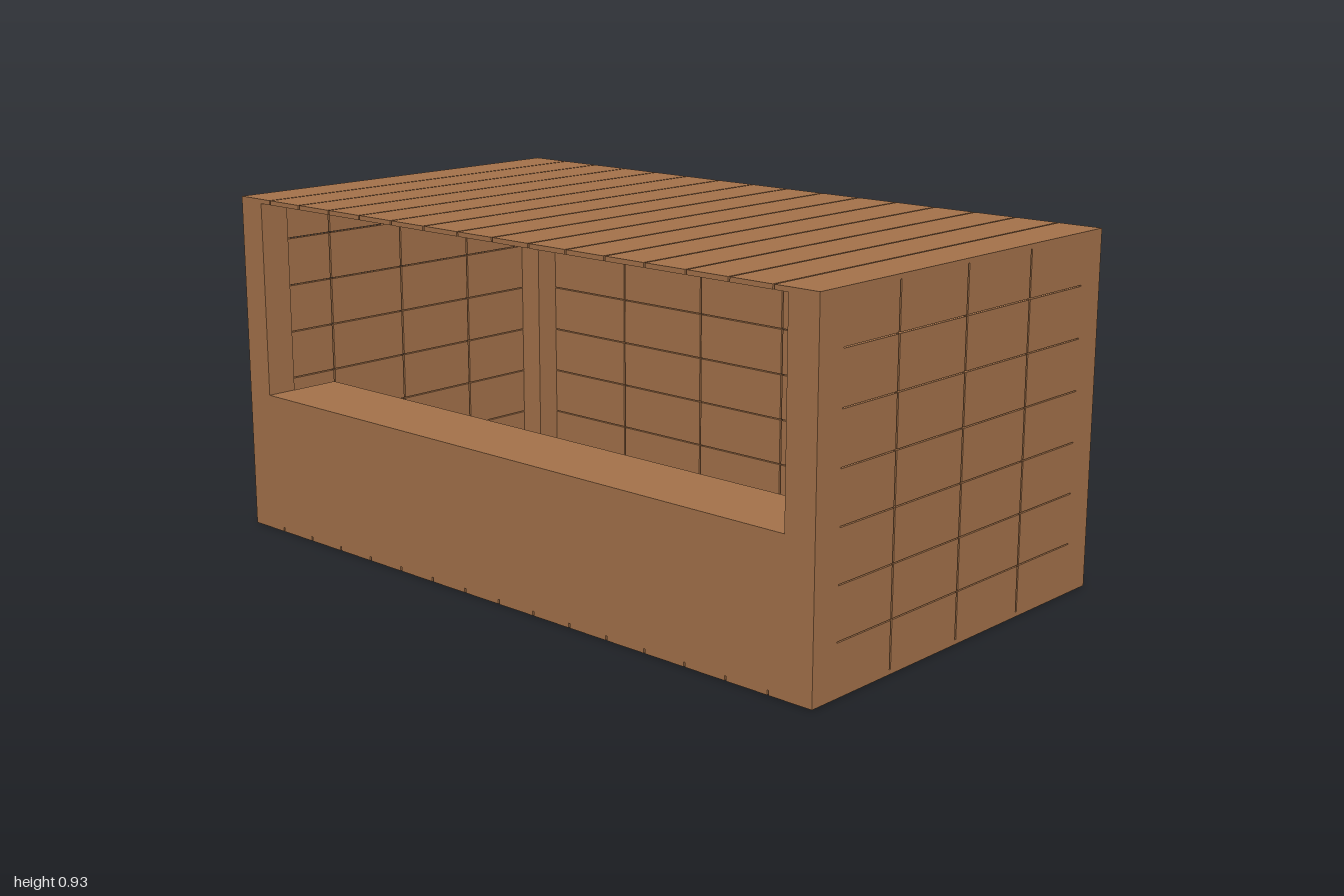
import * as THREE from 'three';

const HX = 1, HZ = 0.56, H = 0.93;   // half width, half depth, height
const T = 0.012;                     // board thickness
const POST = 0.085;                  // corner post side

export function createModel() {
  const model = new THREE.Group();
  const wood = new THREE.MeshStandardMaterial({ color: 0xa4724a, flatShading: true });

  // Box given by its min and max corners
  function box(parent, name, x0, x1, y0, y1, z0, z1) {
    const mesh = new THREE.Mesh(new THREE.BoxGeometry(x1 - x0, y1 - y0, z1 - z0), wood);
    mesh.position.set((x0 + x1) / 2, (y0 + y1) / 2, (z0 + z1) / 2);
    mesh.name = name;
    parent.add(mesh);
  }

  function group(name) {
    const g = new THREE.Group();
    g.name = name;
    model.add(g);
    return g;
  }

  // Floor and roof: sixteen planks running front to back
  const floor = group('floor'), roof = group('roof');
  const planks = 16, step = 2 * HX / planks, gap = 0.0025;
  for (let i = 0; i < planks; i++) {
    const x0 = -HX + i * step + (i > 0 ? gap : 0);
    const x1 = -HX + (i + 1) * step - (i < planks - 1 ? gap : 0);
    box(floor, 'floorPlank', x0, x1, 0, T, -HZ, HZ);
    box(roof, 'roofPlank', x0, x1, H - T, H, -HZ, HZ);
  }

  // Corner posts
  const posts = group('cornerPosts');
  for (const sx of [-1, 1]) for (const sz of [-1, 1]) {
    const a = sx * HX, b = sx * (HX - POST), c = sz * HZ, d = sz * (HZ - POST);
    box(posts, 'cornerPost', Math.min(a, b), Math.max(a, b), T, H - T, Math.min(c, d), Math.max(c, d));
  }

  // Walls: seven rows of boards, cut at the given places along the wall
  function boards(cuts, place) {
    const rows = 7, rowH = H / rows;
    for (let r = 0; r < rows; r++) {
      const y0 = r === 0 ? T : r * rowH + 0.0015;
      const y1 = r === rows - 1 ? H - T : (r + 1) * rowH - 0.0015;
      for (let i = 0; i < cuts.length - 1; i++) {
        const a = cuts[i] + (i > 0 ? gap : 0);
        const b = cuts[i + 1] - (i < cuts.length - 2 ? gap : 0);
        place(a, b, y0, y1);
      }
    }
  }

  const backWall = group('backWall');
  const ex = HX - POST, ez = HZ - POST;
  boards([-ex, -0.617, -0.308, 0, 0.308, 0.617, ex],
    (a, b, y0, y1) => box(backWall, 'backBoard', a, b, y0, y1, -HZ, -HZ + T));

  for (const s of [-1, 1]) {
    const wall = group(s > 0 ? 'leftWall' : 'rightWall');
    boards([-ez, -0.245, 0.015, 0.275, ez], (a, b, y0, y1) =>
      box(wall, 'sideBoard', s > 0 ? HX - T : -HX, s > 0 ? HX : -HX + T, y0, y1, a, b));
  }

  // Solid serving counter below the front opening
  box(model, 'counter', -ex, ex, T, 0.385, 0.335, HZ);

  return model;
}
